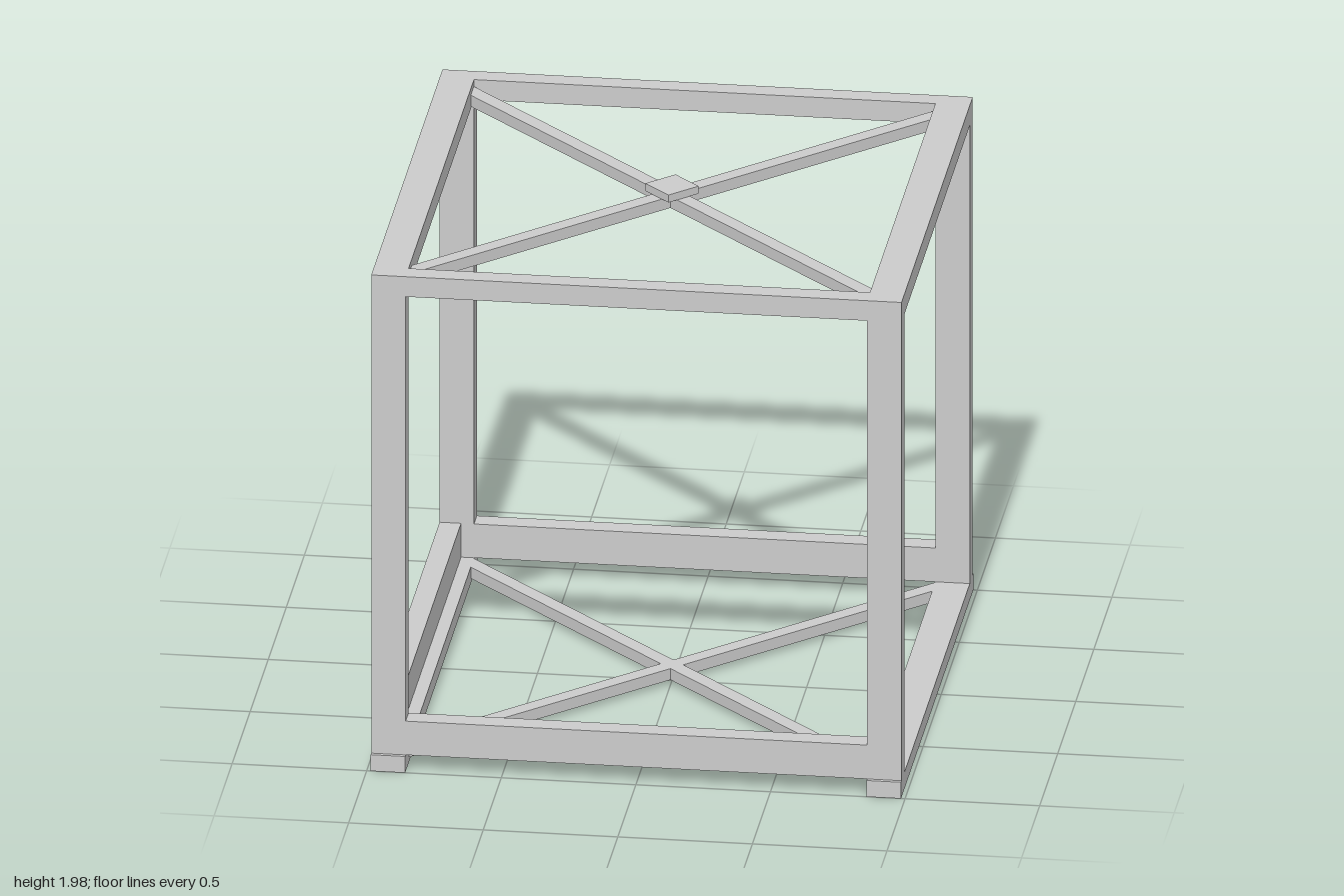
import * as THREE from 'three';

const material = new THREE.MeshStandardMaterial({ color: 0xcccccc, flatShading: true });

// Frame limits: outer and inner faces of the posts, and level heights
const X_OUT = 0.985, X_IN = 0.857;
const Z_OUT = 0.985, Z_IN = 0.905;
const SKID_TOP = 0.065, RAIL_TOP = 0.2, TOP_LOW = 1.895, TOP = 1.975;

export function createModel() {
  const model = new THREE.Group();
  model.name = 'openFrame';

  const add = (name, geometry) => {
    const mesh = new THREE.Mesh(geometry, material);
    mesh.name = name;
    model.add(mesh);
    return mesh;
  };

  // Box between two limits on each axis
  const beam = (name, x0, x1, y0, y1, z0, z1) => {
    const sizes = [x1 - x0, y1 - y0, z1 - z0].map(Math.abs);
    add(name, new THREE.BoxGeometry(...sizes))
      .position.set((x0 + x1) / 2, (y0 + y1) / 2, (z0 + z1) / 2);
  };

  // Diagonal flat bar, its ends cut square to the side rails
  const brace = (name, dir, y0, y1) => {
    const h = 0.042;
    const shape = new THREE.Shape([
      new THREE.Vector2(-X_IN, -dir * X_IN - h),
      new THREE.Vector2(X_IN, dir * X_IN - h),
      new THREE.Vector2(X_IN, dir * X_IN + h),
      new THREE.Vector2(-X_IN, -dir * X_IN + h),
    ]);
    const geometry = new THREE.ExtrudeGeometry(shape, { depth: y1 - y0, bevelEnabled: false });
    geometry.rotateX(-Math.PI / 2);
    add(name, geometry).position.y = y0;
  };

  for (const s of [-1, 1]) {
    const side = s > 0 ? 'left' : 'right';
    const end = s > 0 ? 'front' : 'back';

    // Skids and top rails running front to back
    beam(side + 'Skid', s * X_IN, s * X_OUT, 0, SKID_TOP, -1, 1);
    beam(side + 'TopRail', s * X_IN, s * X_OUT, TOP_LOW, TOP, -Z_OUT, Z_OUT);

    // Corner posts
    for (const t of [-1, 1]) {
      beam(side + (t > 0 ? 'Front' : 'Back') + 'Post',
        s * X_IN, s * X_OUT, SKID_TOP, TOP_LOW, t * Z_IN, t * Z_OUT);
    }

    // Cross rails at the front and back
    beam(end + 'BottomRail', -X_IN, X_IN, SKID_TOP, RAIL_TOP, s * Z_IN, s * Z_OUT);
    beam(end + 'TopRail', -X_IN, X_IN, TOP_LOW, TOP, s * Z_IN, s * Z_OUT);

    // Crossed braces in the floor and the roof
    brace('floorBrace', s, 0.02, SKID_TOP);
    brace('roofBrace', s, 1.905, 1.95);
  }

  // Extra low rail on one side only
  beam('rightBottomRail', -X_OUT, -0.905, SKID_TOP, RAIL_TOP, -Z_IN, Z_IN);

  // Plate over the roof crossing, turned to a diamond
  const plate = add('centrePlate', new THREE.BoxGeometry(0.14, 0.03, 0.14));
  plate.position.y = 1.965;
  plate.rotation.y = Math.PI / 4;

  return model;
}
